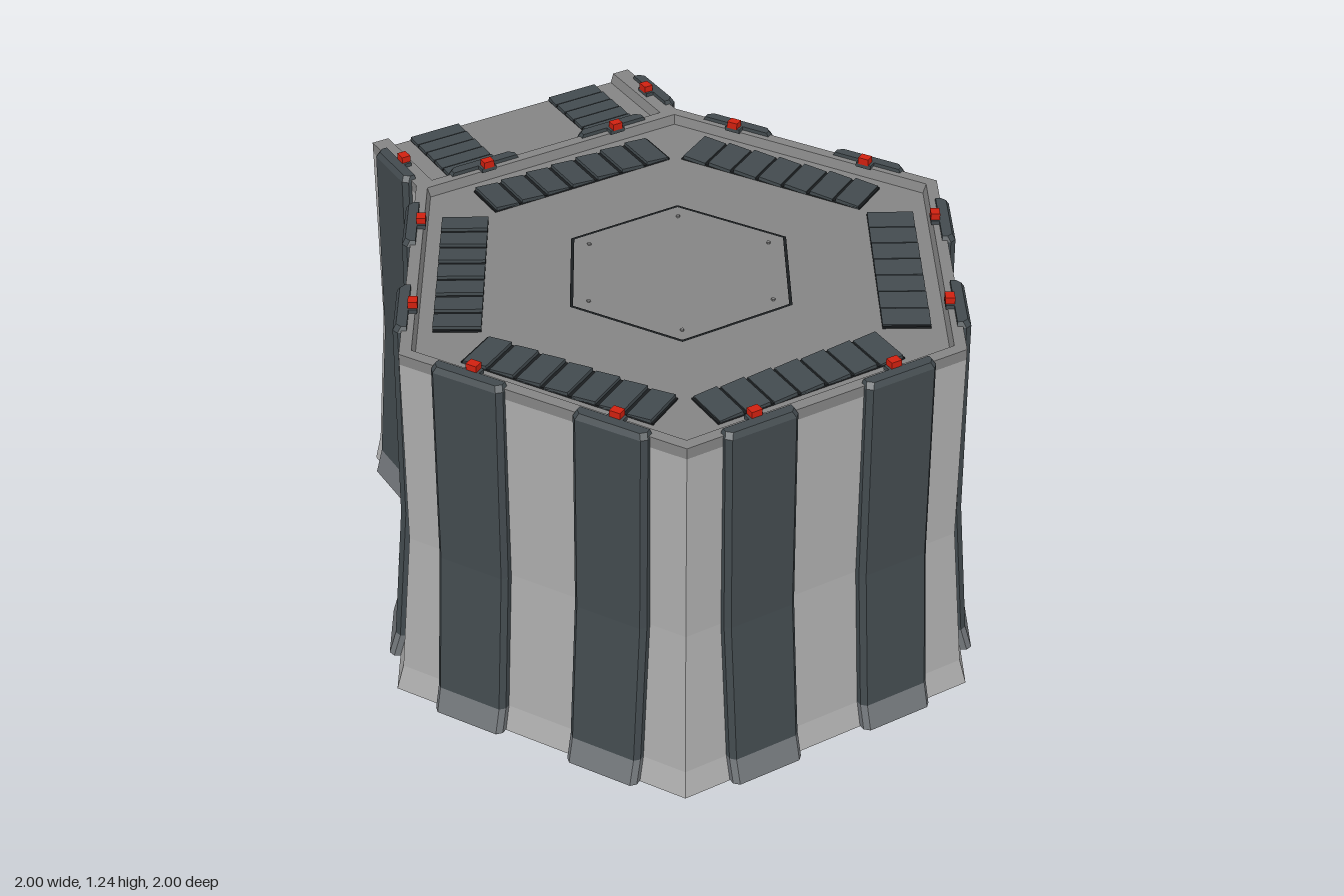
import * as THREE from 'three';

const mat = (name, color, extra = {}) =>
  Object.assign(new THREE.MeshStandardMaterial({ color, flatShading: true, ...extra }), { name });

const CZ = 0.1;          // hexagon centre along z
const DECK = 1.175;      // deck height
const EXT = 0.336;       // annex walls sit this much closer to the axis than hexagon walls
const SQ = Math.sqrt(3) / 2;

// Skin through convex rings of [x, y, z], anticlockwise from above
function loft(rings, { bottom = true, top = true } = {}) {
  const pos = [];
  const tri = (...pts) => pts.forEach((p) => pos.push(...p));
  const n = rings[0].length;
  for (let i = 0; i < rings.length - 1; i++) {
    for (let j = 0; j < n; j++) {
      const k = (j + 1) % n;
      const a = rings[i][j], b = rings[i][k], c = rings[i + 1][k], d = rings[i + 1][j];
      tri(a, b, c);
      tri(a, c, d);
    }
  }
  const last = rings[rings.length - 1];
  for (let j = 1; j < n - 1; j++) {
    if (bottom) tri(rings[0][0], rings[0][j + 1], rings[0][j]);
    if (top) tri(last[0], last[j], last[j + 1]);
  }
  const g = new THREE.BufferGeometry();
  g.setAttribute('position', new THREE.Float32BufferAttribute(pos, 3));
  g.computeVertexNormals();
  return g;
}

const hexRing = (r, y) => Array.from({ length: 6 }, (_, i) => {
  const a = (i * Math.PI) / 3;
  return [r * Math.cos(a), y, CZ - r * Math.sin(a)];
});

const rectRing = (hw, y) => [[-hw, y, -0.68], [hw, y, -0.68], [hw, y, -1], [-hw, y, -1]];

// Buttress cross-section with chamfered outer edges
const buttressRing = (hw, d, y, c = 0.015) => [
  [-hw, y, 0.785], [-hw, y, d - c], [-hw + c, y, d],
  [hw - c, y, d], [hw, y, d - c], [hw, y, 0.785],
];

export function createModel() {
  const model = new THREE.Group();
  model.name = 'hexagonalBastion';

  const wallMat = mat('wall grey', 0xacacac);
  const deckMat = mat('deck grey', 0x848484);
  const slate = mat('slate', 0x424a4e);
  const footMat = mat('foot grey', 0x72767a);
  const black = mat('slot black', 0x1a1d1f, { side: THREE.DoubleSide });
  const red = mat('lamp red', 0xd0200f);

  const add = (parent, name, geo, material, x = 0, y = 0, z = 0) => {
    const m = new THREE.Mesh(geo, material);
    m.name = name;
    m.position.set(x, y, z);
    parent.add(m);
    return m;
  };
  const pivot = (name, x, y, z, angle) => {
    const g = new THREE.Group();
    g.name = name;
    g.position.set(x, y, z);
    g.rotation.y = angle;
    model.add(g);
    return g;
  };

  // Flared hexagonal wall, then rim and sunken deck
  const wall = [[1, 0], [0.975, 0.08], [0.928, 0.55], [0.925, 1.17]];
  add(model, 'hexagonWall', loft(wall.map(([r, y]) => hexRing(r, y)), { top: false }), wallMat);
  const rim = [[0.925, 1.17], [0.925, 1.205], [0.885, 1.205], [0.875, DECK]];
  add(model, 'hexagonRimAndDeck', loft(rim.map(([r, y]) => hexRing(r, y)), { bottom: false }), deckMat);

  // Rear annex with the same flare, and a deck between two kerbs
  add(model, 'annexWall',
    loft(wall.map(([r, y]) => rectRing(r * SQ - EXT, y)), { top: false }), wallMat);
  const w = 0.925 * SQ - EXT;
  const section = new THREE.Shape([
    [-w, 1.16], [w, 1.16], [w, 1.205], [0.41, 1.205], [0.4, DECK],
    [-0.4, DECK], [-0.41, 1.205], [-w, 1.205],
  ].map(([x, y]) => new THREE.Vector2(x, y)));
  add(model, 'annexDeck',
    new THREE.ExtrudeGeometry(section, { depth: 0.32, bevelEnabled: false }), deckMat, 0, 0, -1);

  // Buttress with a pale foot and a red lamp on its head
  const buttress = (parent, x, hw) => {
    const g = new THREE.Group();
    g.name = 'buttress';
    g.position.x = x;
    parent.add(g);
    add(g, 'buttressFoot', loft([
      buttressRing(hw, 0.9, 0.002), buttressRing(hw, 0.877, 0.082),
    ], { top: false }), footMat);
    add(g, 'buttressShaft', loft([
      buttressRing(hw, 0.877, 0.082), buttressRing(hw, 0.836, 0.55),
      buttressRing(hw, 0.826, 1.2), buttressRing(hw - 0.008, 0.816, 1.217),
    ], { bottom: false }), slate);
    add(g, 'lampBracket', new THREE.BoxGeometry(0.05, 0.014, 0.03), slate, 0, 1.21, 0.775);
    add(g, 'lamp', new THREE.BoxGeometry(0.034, 0.022, 0.028), red, 0, 1.226, 0.773);
  };

  // Louvred vent running along local x
  const vent = (parent, z, length, width, count) => {
    const g = new THREE.Group();
    g.name = 'vent';
    g.position.set(0, DECK, z);
    parent.add(g);
    add(g, 'ventSlot', new THREE.BoxGeometry(length, 0.008, width), black, 0, 0.002, 0);
    const pitch = length / count;
    for (let i = 0; i < count; i++) {
      const slat = add(g, 'ventSlat', new THREE.BoxGeometry(pitch * 0.86, 0.01, width), slate,
        (i + 0.5) * pitch - length / 2, 0.008, 0);
      slat.rotation.z = 0.08;
    }
  };

  // Two buttresses and one vent on each hexagon side
  for (let i = 0; i < 6; i++) {
    const side = pivot('hexagonSide', 0, 0, CZ, (i * Math.PI) / 3);
    for (const s of [-1, 1]) buttress(side, s * 0.23, 0.118);
    vent(side, 0.645, 0.62, 0.14, 7);
  }

  // Annex buttresses and vents, mirrored
  for (const s of [-1, 1]) {
    buttress(pivot('annexSide', -s * EXT, 0, -0.835, (s * Math.PI) / 2), 0, 0.105);
    vent(pivot('annexVent', s * 0.25, 0, -0.858, Math.PI / 2), 0, 0.28, 0.17, 5);
  }

  // Central hatch outline with corner bolts
  const groove = add(model, 'hatchGroove', new THREE.RingGeometry(0.362, 0.373, 6), black, 0, DECK + 0.003, CZ);
  groove.rotation.x = -Math.PI / 2;
  for (const [x, , z] of hexRing(0.31, 0)) {
    add(model, 'hatchBolt', new THREE.CylinderGeometry(0.006, 0.006, 0.006, 6), deckMat, x, DECK + 0.003, z);
  }
  return model;
}
